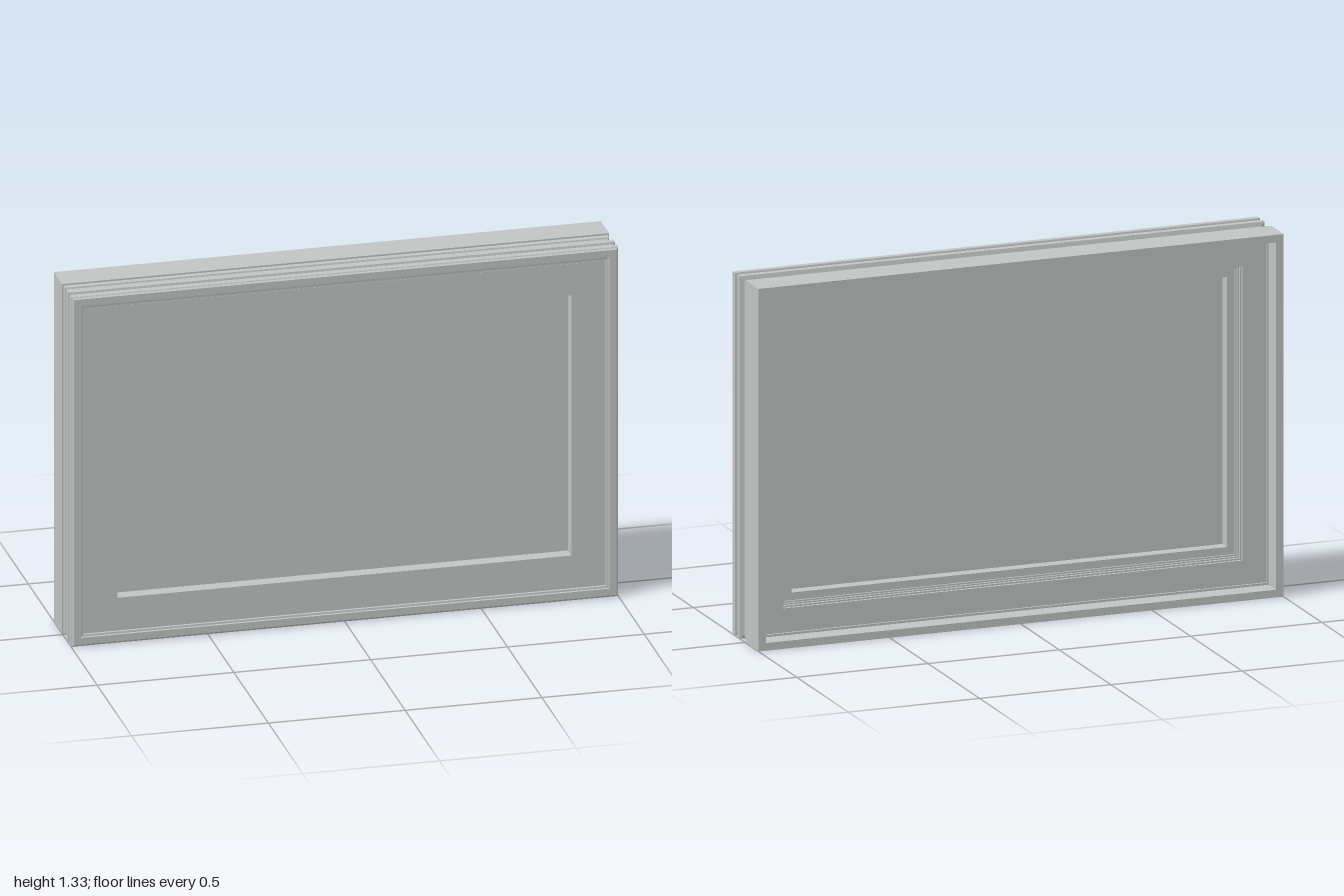
import * as THREE from 'three';

const W = 1;        // half width
const H = 1.333;    // full height

// Sweeps a closed profile of [inset, z] points around the rectangle with mitred corners.
// Profiles run inward along the front, then back out along the rear.
function mitredFrame(profile) {
  const corner = ([a, z], k) => [
    k === 1 || k === 2 ? W - a : a - W,
    k >= 2 ? H - a : a,
    z,
  ];
  const pos = [];
  profile.forEach((p, i) => {
    const q = profile[(i + 1) % profile.length];
    for (let k = 0; k < 4; k++) {
      const n = (k + 1) % 4;
      const A = corner(p, k), B = corner(p, n), C = corner(q, n), D = corner(q, k);
      pos.push(...A, ...B, ...C, ...A, ...C, ...D);
    }
  });
  const g = new THREE.BufferGeometry();
  g.setAttribute('position', new THREE.Float32BufferAttribute(pos, 3));
  g.computeVertexNormals();
  return g;
}

export function createModel() {
  const group = new THREE.Group();
  const grey = new THREE.MeshStandardMaterial({ color: 0xc0c4c3 });
  grey.name = 'pale grey';

  const add = (name, geometry) => {
    const mesh = new THREE.Mesh(geometry, grey);
    mesh.name = name;
    group.add(mesh);
    return mesh;
  };

  // Raised front lip and the grooved outer moulding behind it
  add('frontMoulding', mitredFrame([
    [0, 0.122], [0.004, 0.124], [0.008, 0.13], [0.034, 0.13], [0.036, 0.125],
    [0.043, 0.124], [0.045, 0.119], [0.06, 0.119],
    [0.06, -0.02], [0.006, -0.02],
    [0.006, 0.012], [0.012, 0.014], [0.012, 0.034],
    [0.016, 0.036], [0.016, 0.048], [0, 0.052], [0, 0.075],
    [0.008, 0.077], [0.008, 0.085], [0.014, 0.087], [0.014, 0.097], [0, 0.1],
  ]));

  // Broad flat border around the sunken panel
  add('border', mitredFrame([
    [0.05, 0.12], [0.17, 0.12], [0.17, -0.015], [0.05, -0.015],
  ]));

  // Deep rear box: thin rim, inner floor and stepped opening
  add('rearBox', mitredFrame([
    [0, -0.01], [0.142, -0.01], [0.142, -0.022], [0.136, -0.022], [0.136, -0.03],
    [0.131, -0.03], [0.131, -0.04], [0.125, -0.04], [0.125, -0.05],
    [0.036, -0.05], [0.036, -0.058], [0.028, -0.058], [0.028, -0.13], [0, -0.13],
  ]));

  // Sunken centre panel
  const panel = add('centrePanel', new THREE.BoxGeometry(2 * (W - 0.165), H - 0.33, 0.04));
  panel.position.set(0, H / 2, 0.05);

  return group;
}
